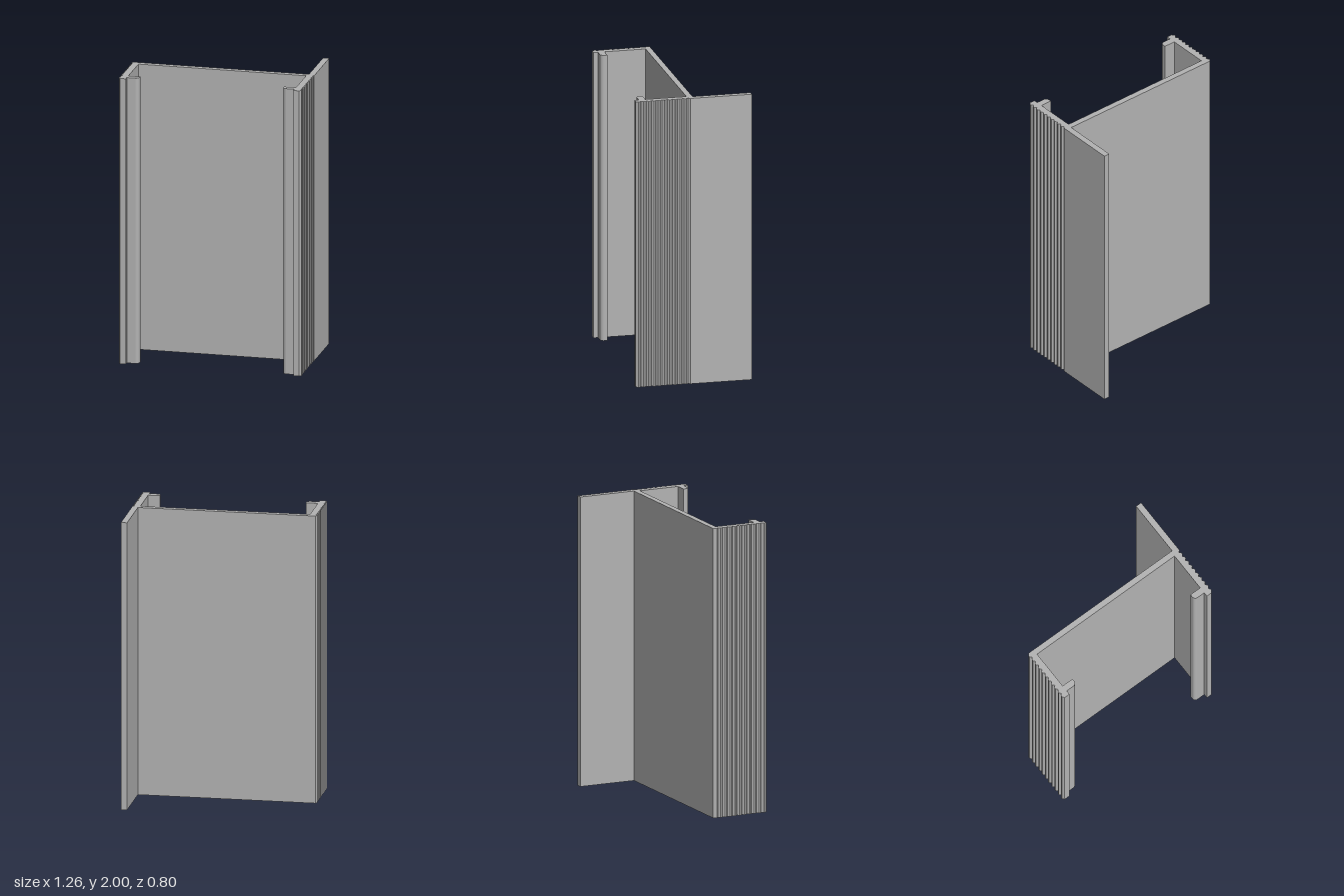
import * as THREE from 'three';

const HEIGHT = 2;
const OUTER = 0.632, GROOVE = 0.62, INNER = 0.58; // wall half-widths
const LIP = 0.498, LIP_BACK = 0.325, LIP_FRONT = 0.37, ROUND = 0.025;
const WEB = 0.04, DEPTH = 0.4;
const TEETH = 11, PITCH = 0.036, FLAT = 0.005;

// Serrated outer face as [x, z] points, running from back to front
function serrations() {
  const pts = [];
  for (let i = 0; i < TEETH; i++) {
    const z = 0.02 + i * PITCH;
    pts.push([OUTER, z - FLAT], [OUTER, z + FLAT]);
    if (i < TEETH - 1) pts.push([GROOVE, z + PITCH / 2]);
  }
  pts.push([GROOVE, DEPTH]);
  return pts;
}

// Front edge, inward lip with a rounded front corner, and inner wall face
function lipAndInnerWall() {
  const pts = [[INNER, DEPTH], [INNER, LIP_FRONT]];
  for (let i = 0; i <= 6; i++) {
    const a = (i / 6) * Math.PI / 2;
    pts.push([LIP + ROUND * (1 - Math.sin(a)), LIP_FRONT - ROUND * (1 - Math.cos(a))]);
  }
  pts.push([LIP, LIP_BACK], [INNER, LIP_BACK], [INNER, WEB]);
  return pts;
}

export function createModel() {
  const group = new THREE.Group();
  group.name = 'channelProfile';
  const metal = new THREE.MeshStandardMaterial({ color: 0xb3b3b3 });
  metal.name = 'grey metal';

  const side = [...serrations(), ...lipAndInnerWall()];
  const mirrored = side.map(([x, z]) => [-x, z]).reverse();

  // Whole cross-section: back fin, left wall, web, right wall
  const outline = [
    [0.59, 0], [0.59, -0.4], [OUTER, -0.4],
    ...side,
    ...mirrored,
    [-0.624, 0],
  ];
  const shape = new THREE.Shape(outline.map(([x, z]) => new THREE.Vector2(x, -z)));
  const geometry = new THREE.ExtrudeGeometry(shape, { depth: HEIGHT, bevelEnabled: false });
  geometry.rotateX(-Math.PI / 2);

  const channel = new THREE.Mesh(geometry, metal);
  channel.name = 'extrudedChannel';
  group.add(channel);
  return group;
}
